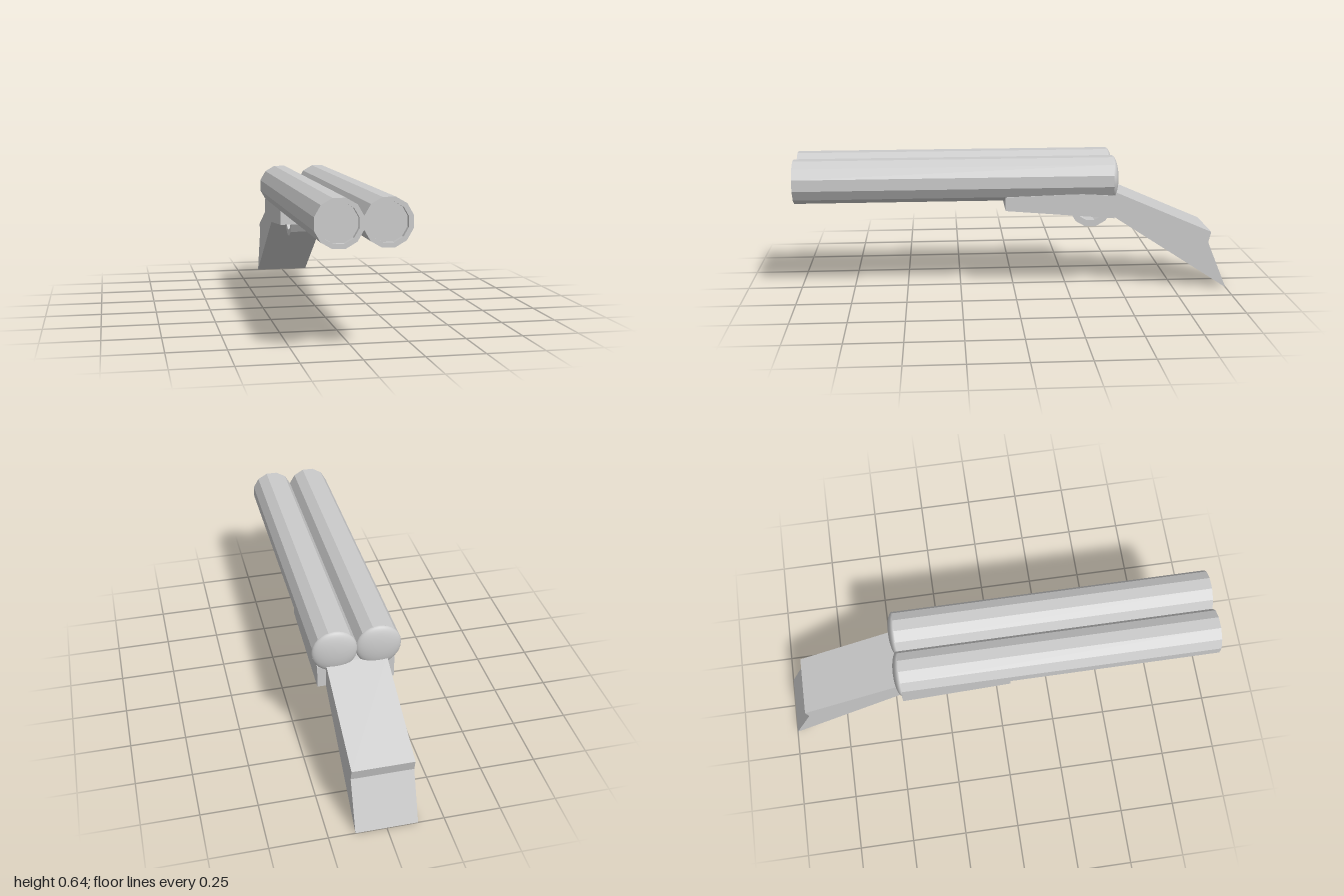
import * as THREE from 'three';

const flat = new THREE.MeshStandardMaterial({ color: 0xcccccc, flatShading: true });
const smooth = new THREE.MeshStandardMaterial({ color: 0xcccccc });

// Extrudes a side profile given as [z, y] points across the width x0..x1
function sideProfile(name, points, x0, x1) {
  const shape = new THREE.Shape(points.map(([z, y]) => new THREE.Vector2(-z, y)));
  const geometry = new THREE.ExtrudeGeometry(shape, { depth: x1 - x0, bevelEnabled: false });
  geometry.rotateY(Math.PI / 2).translate(x0, 0, 0);
  const mesh = new THREE.Mesh(geometry, flat);
  mesh.name = name;
  return mesh;
}

function createBarrel(name, x) {
  const barrel = new THREE.Group();
  barrel.name = name;
  barrel.position.set(x, 0.535, 0);

  // Twelve-sided tube with a shallow recessed bore
  const profile = [[0, -0.45], [0.101, -0.45], [0.101, 1], [0.081, 1], [0.081, 0.98], [0, 0.98]];
  const tubeGeometry = new THREE.LatheGeometry(
    profile.map(([r, y]) => new THREE.Vector2(r, y)), 12, Math.PI / 12);
  tubeGeometry.rotateX(Math.PI / 2);
  const tube = new THREE.Mesh(tubeGeometry, flat);
  tube.name = 'barrelTube';

  // Rounded, flattened breech end
  const capGeometry = new THREE.SphereGeometry(0.101, 32, 10, 0, Math.PI * 2, 0, Math.PI / 2);
  capGeometry.rotateX(-Math.PI / 2).scale(1, 1, 0.3);
  const cap = new THREE.Mesh(capGeometry, smooth);
  cap.name = 'breechCap';
  cap.position.z = -0.448;

  barrel.add(tube, cap);
  return barrel;
}

export function createModel() {
  const model = new THREE.Group();
  model.name = 'doubleBarrelShotgun';

  model.add(createBarrel('leftBarrel', 0.096), createBarrel('rightBarrel', -0.098));

  // Wedge-shaped receiver under the barrels
  model.add(sideProfile('receiver',
    [[0.045, 0.463], [0.045, 0.4], [-0.455, 0.357], [-0.455, 0.463], [-0.3, 0.474]], -0.171, 0.173));

  // Angled stock with a notched butt
  model.add(sideProfile('stock',
    [[-0.44, 0.478], [-0.44, 0.364], [-0.455, 0.357], [-1, 0], [-0.908, 0.222], [-0.92, 0.273], [-0.455, 0.475]],
    -0.136, 0.135));

  // Lower half of a twelve-sided ring as the trigger guard
  const arc = (r) => [15, -15, -45, -75, -105, -135, -165, -195].map((deg) => {
    const a = THREE.MathUtils.degToRad(deg);
    return [-0.362 + r * Math.cos(a), 0.386 + r * Math.sin(a)];
  });
  model.add(sideProfile('triggerGuard', [...arc(0.1), ...arc(0.07).reverse()], -0.067, 0.053));

  // Small forward-hooked trigger
  model.add(sideProfile('trigger',
    [[-0.36, 0.385], [-0.376, 0.36], [-0.365, 0.335], [-0.4, 0.362], [-0.405, 0.385]], -0.03, 0.017));

  return model;
}
